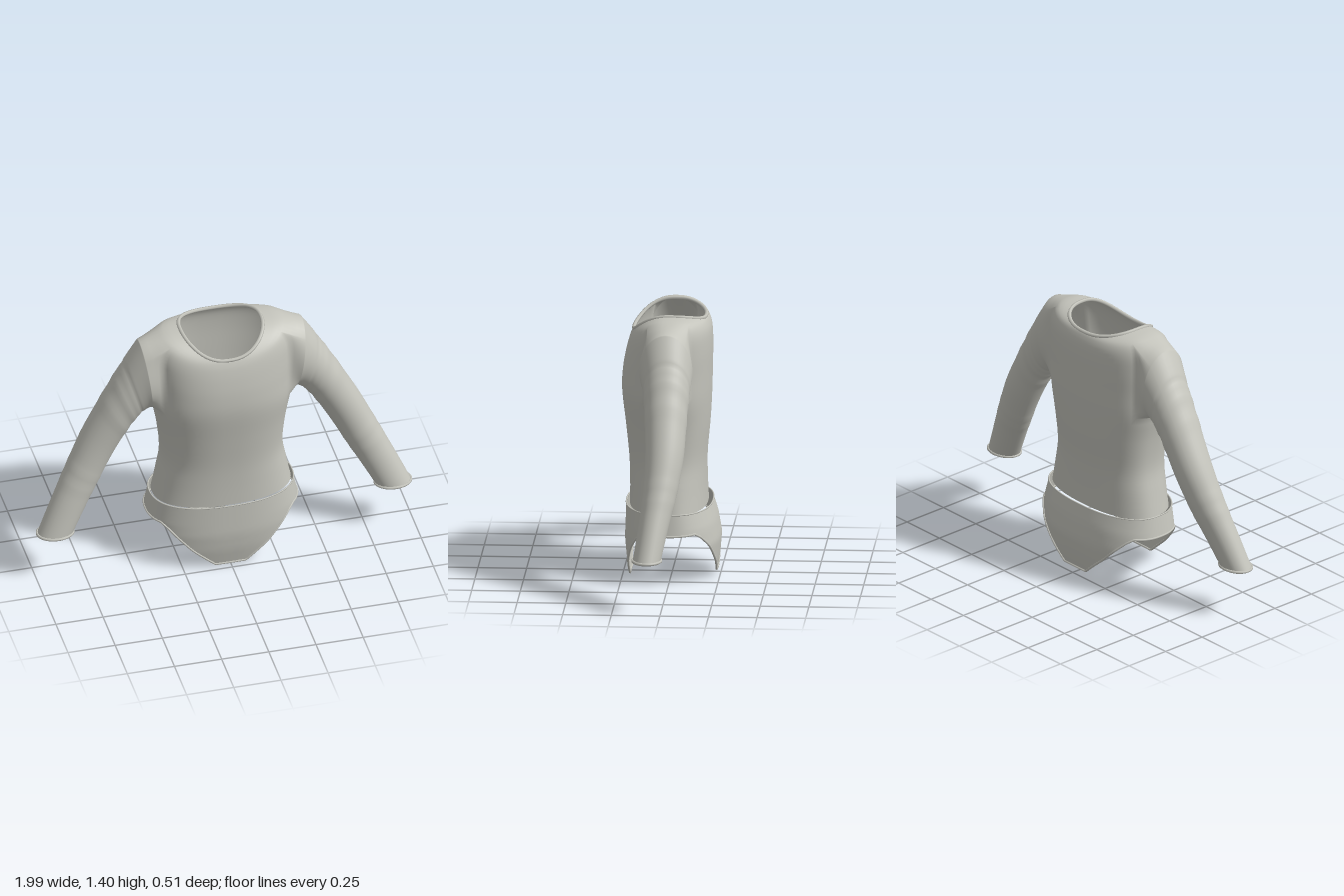
import * as THREE from 'three';
import { mergeVertices } from 'three/addons/utils/BufferGeometryUtils.js';

const V = (x, y, z) => new THREE.Vector3(x, y, z);
const lerp = THREE.MathUtils.lerp;
const N = 64;          // columns around the body
const SUB = 4;         // rows between key sections
const ARM = 5;         // half width of the armhole, in columns
const ARM_LOW = 16, ARM_TOP = 32; // armhole rows

// Signed power for rounded-box cross-sections
const pw = (v, e) => Math.sign(v) * Math.pow(Math.abs(v), e);

// Catmull-Rom through key sections, component by component
function sampleKeys(keys, sub) {
  const out = [];
  for (let k = 0; k < keys.length - 1; k++) {
    const p0 = keys[Math.max(k - 1, 0)], p1 = keys[k], p2 = keys[k + 1], p3 = keys[Math.min(k + 2, keys.length - 1)];
    for (let s = 0; s < sub; s++) {
      const t = s / sub;
      out.push(p1.map((b, i) => 0.5 * (2 * b + (p2[i] - p0[i]) * t
        + (2 * p0[i] - 5 * b + 4 * p2[i] - p3[i]) * t * t
        + (3 * b - p0[i] - 3 * p2[i] + p3[i]) * t * t * t)));
    }
  }
  out.push(keys[keys.length - 1]);
  return out;
}

// Push the triangles of closed rings into a position list
function addRings(pos, rings, skip = () => false) {
  const n = rings[0].length;
  for (let j = 0; j < rings.length - 1; j++) for (let i = 0; i < n; i++) {
    if (skip(i, j)) continue;
    const a = rings[j][i], b = rings[j][(i + 1) % n], c = rings[j + 1][(i + 1) % n], d = rings[j + 1][i];
    for (const p of [a, d, b, b, d, c]) pos.push(p.x, p.y, p.z);
  }
}

function smoothGeometry(pos) {
  const g = new THREE.BufferGeometry();
  g.setAttribute('position', new THREE.Float32BufferAttribute(pos, 3));
  const merged = mergeVertices(g, 1e-4);
  merged.computeVertexNormals();
  return merged;
}

// Torso rings: half width, front z, back z, side y, front y, back y
function torsoRings() {
  const keys = [
    [0.365, 0.215, -0.185, 0.375, 0.375, 0.375],
    [0.34, 0.215, -0.18, 0.5, 0.5, 0.5],
    [0.32, 0.22, -0.18, 0.63, 0.63, 0.63],
    [0.335, 0.237, -0.195, 0.8, 0.8, 0.8],
    [0.362, 0.256, -0.203, 0.95, 0.97, 0.95],
    [0.365, 0.252, -0.206, 1.08, 1.08, 1.08],
    [0.37, 0.237, -0.208, 1.2, 1.17, 1.2],
    [0.365, 0.22, -0.203, 1.31, 1.235, 1.29],
    [0.325, 0.207, -0.188, 1.377, 1.268, 1.335],
    [0.215, 0.197, -0.175, 1.39, 1.287, 1.355],
  ];
  return sampleKeys(keys, SUB).map(([w, zf, zb, ys, yf, yb]) =>
    Array.from({ length: N }, (_, i) => {
      const t = (i / N) * Math.PI * 2, c = Math.cos(t), s = Math.sin(t);
      return V(w * pw(c, 0.85), lerp(ys, s > 0 ? yf : yb, s * s), (s > 0 ? zf : -zb) * pw(s, 0.85));
    }));
}

// Left sleeve rings, starting on the armhole edge of the torso
function sleeveRings(torso) {
  const hole = [];
  const put = (c, r) => hole.push({
    p: torso[r][(c + N) % N],
    phi: Math.atan2(c / ARM, (r - (ARM_LOW + ARM_TOP) / 2) / ((ARM_TOP - ARM_LOW) / 2)),
  });
  for (let c = ARM; c > -ARM; c--) put(c, ARM_TOP);
  for (let r = ARM_TOP; r > ARM_LOW; r--) put(-ARM, r);
  for (let c = -ARM; c < ARM; c++) put(c, ARM_LOW);
  for (let r = ARM_LOW; r < ARM_TOP; r++) put(ARM, r);

  // Inner x, y, outer x, y, front z, back z
  const keys = [
    [0.378, 0.945, 0.43, 1.345, 0.145, -0.13],
    [0.395, 0.94, 0.475, 1.275, 0.132, -0.125],
    [0.43, 0.91, 0.52, 1.2, 0.12, -0.12],
    [0.485, 0.84, 0.6, 1.06, 0.108, -0.11],
    [0.57, 0.69, 0.73, 0.82, 0.098, -0.1],
    [0.655, 0.53, 0.82, 0.63, 0.105, -0.07],
    [0.735, 0.385, 0.91, 0.44, 0.125, -0.03],
    [0.8, 0.266, 0.988, 0.266, 0.146, 0.002],
  ];
  const sub = 8;
  const folds = [[1.9, -0.025], [2.6, 0.025], [3.2, 0.03], [4.9, 0.02], [5.3, 0.02]];
  const rings = sampleKeys(keys, sub).map(([ix, iy, ox, oy, zf, zb], j) => {
    const k = j / sub;
    const puff = folds.reduce((a, [at, h]) => a + h * Math.exp(-(((k - at) / 0.13) ** 2)), 1);
    return hole.map(({ phi }) => {
      const c = 0.5 * Math.cos(phi) * puff, s = 0.5 * Math.sin(phi) * puff;
      return V((ix + ox) / 2 + (ox - ix) * c, (iy + oy) / 2 + (oy - iy) * c, (zf + zb) / 2 + (zf - zb) * s);
    });
  });
  // Blend from the armhole to the first sleeve section
  const edge = hole.map(h => h.p);
  const blend = [0, 1 / 3, 2 / 3].map(t => edge.map((p, i) => p.clone().lerp(rings[0][i], t)));
  return [...blend, ...rings];
}

// Piecewise-linear lookup in [x, y] pairs
function lookup(table, x) {
  for (let i = 1; i < table.length; i++) {
    const [x0, y0] = table[i - 1], [x1, y1] = table[i];
    if (x <= x1) return lerp(y0, y1, Math.max(0, (x - x0) / (x1 - x0)));
  }
  return table[table.length - 1][1];
}

// Lower panel with high-cut leg openings
function briefRings() {
  const n = 128, rows = 12;
  const hemAt = [[0, 0.007], [0.08, 0.007], [0.2, 0.115], [0.32, 0.245], [0.35, 0.27], [0.4, 0.272]];
  const width = [[0, 0.405], [0.27, 0.398], [0.38, 0.378]];
  const front = [[0, 0.213], [0.1, 0.232], [0.2, 0.241], [0.38, 0.234]];
  const back = [[0, 0.23], [0.1, 0.245], [0.2, 0.253], [0.3, 0.235], [0.38, 0.21]];
  const rings = [];
  for (let j = 0; j <= rows; j++) {
    rings.push(Array.from({ length: n }, (_, i) => {
      const t = (i / n) * Math.PI * 2, s = Math.sin(t), cx = pw(Math.cos(t), 0.85);
      const hem = lookup(hemAt, Math.abs(cx) * 0.4) + (s < 0 ? 0.025 * s * s : 0);
      const y = lerp(hem, 0.38, j / rows);
      return V(lookup(width, y) * cx, y, lookup(s > 0 ? front : back, y) * pw(s, 0.85));
    }));
  }
  return rings;
}

export function createModel() {
  const model = new THREE.Group();
  const cloth = new THREE.MeshStandardMaterial({ color: 0xc4c4bc, side: THREE.DoubleSide });
  const add = (name, geometry) => {
    const mesh = new THREE.Mesh(geometry, cloth);
    mesh.name = name;
    model.add(mesh);
  };
  const hem = (name, points, radius) => add(name,
    new THREE.TubeGeometry(new THREE.CatmullRomCurve3(points, true), points.length * 2, radius, 6, true));

  // Torso and sleeves, welded into one smooth shell
  const torso = torsoRings();
  const sleeve = sleeveRings(torso);
  const mirrored = sleeve.map(r => r.map(p => V(-p.x, p.y, p.z)).reverse());
  const inHole = (i, j) => {
    const near = c => { const d = (i - c + N * 1.5) % N - N / 2; return d >= -ARM && d < ARM; };
    return j >= ARM_LOW && j < ARM_TOP && (near(0) || near(N / 2));
  };
  const pos = [];
  addRings(pos, torso, inHole);
  addRings(pos, sleeve);
  addRings(pos, mirrored);
  add('shirtBodyAndSleeves', smoothGeometry(pos));

  // Neck binding and cuffs
  hem('neckBinding', torso[torso.length - 1], 0.01);
  hem('leftCuff', sleeve[sleeve.length - 1], 0.008);
  hem('rightCuff', mirrored[mirrored.length - 1], 0.008);

  // Brief panel and its hems
  const briefs = briefRings();
  const briefPos = [];
  addRings(briefPos, briefs);
  add('briefPanel', smoothGeometry(briefPos));
  hem('legHem', briefs[0], 0.006);
  hem('waistHem', briefs[briefs.length - 1], 0.004);
  return model;
}
